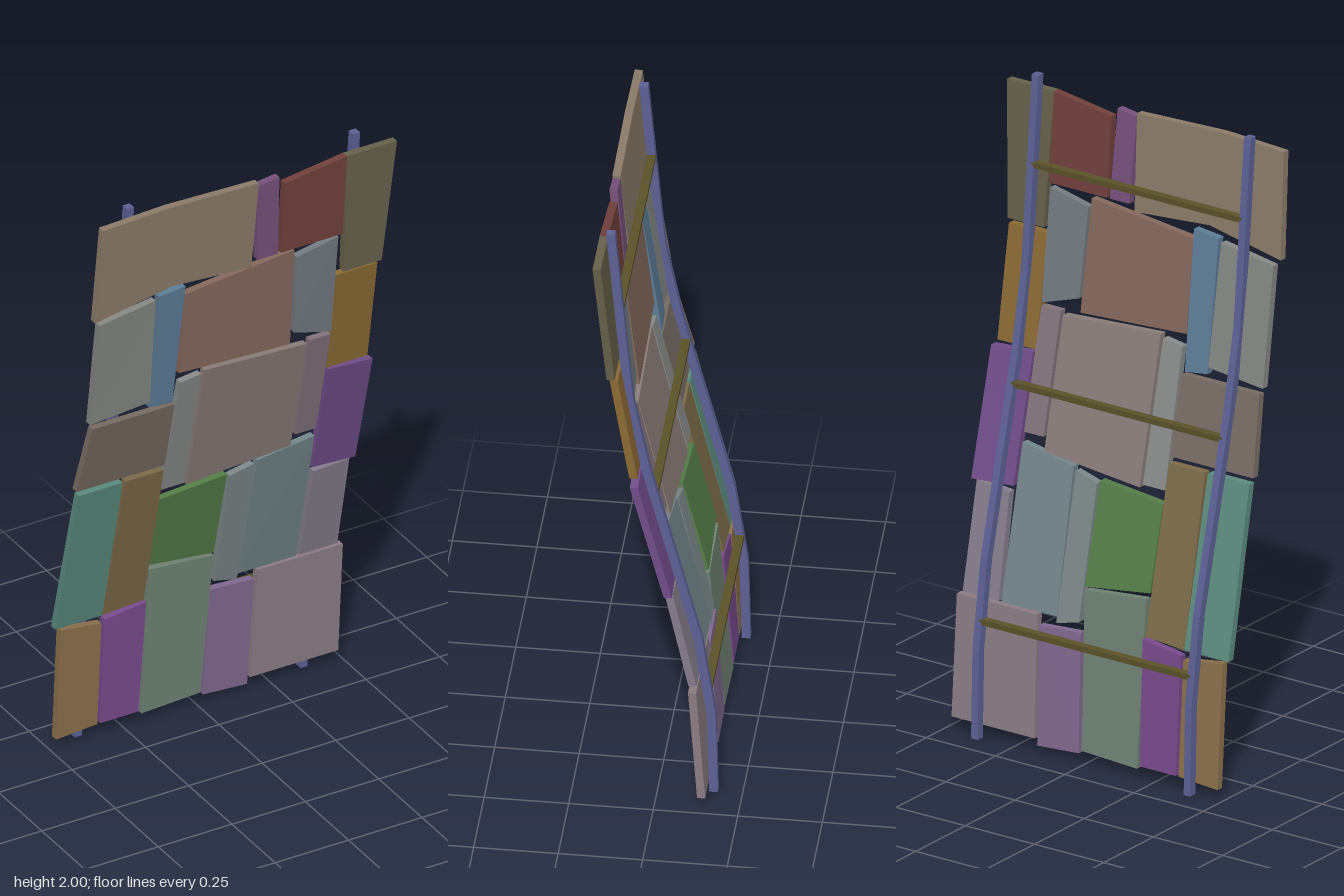
import * as THREE from 'three';

// Side profile of the bent frame: [height, depth]
const PROFILE = [[0, -0.165], [0.28, -0.158], [0.55, -0.118], [0.8, -0.055],
  [1.15, 0.035], [1.4, 0.085], [1.53, 0.098], [2, 0.14]];

function depthAt(y) {
  let i = 1;
  while (i < PROFILE.length - 1 && y > PROFILE[i][0]) i++;
  const [y0, z0] = PROFILE[i - 1], [y1, z1] = PROFILE[i];
  return z0 + (z1 - z0) * (y - y0) / (y1 - y0);
}

// Panel outlines per row: [colour, x, y, x, y, ...], clockwise from the top left
const ROWS = {
  top: [
    [0x8a7a68, -0.5, 1.95, -0.28, 1.96, 0.03, 1.95, 0.02, 1.65, -0.25, 1.67, -0.51, 1.62],
    [0x76507a, 0.03, 1.94, 0.1, 1.95, 0.11, 1.67, 0.04, 1.67],
    [0x70403c, 0.12, 1.92, 0.33, 1.95, 0.33, 1.67, 0.12, 1.67],
    [0x66604a, 0.33, 1.95, 0.5, 1.95, 0.47, 1.53, 0.34, 1.53],
  ],
  upper: [
    [0x848682, -0.49, 1.6, -0.3, 1.63, -0.29, 1.25, -0.49, 1.23],
    [0x5c7c96, -0.29, 1.64, -0.2, 1.65, -0.21, 1.22, -0.29, 1.23],
    [0x84685c, -0.2, 1.62, 0.17, 1.66, 0.18, 1.31, -0.2, 1.33],
    [0x727a80, 0.18, 1.63, 0.32, 1.66, 0.32, 1.31, 0.19, 1.35],
    [0x8a6a34, 0.32, 1.52, 0.46, 1.52, 0.46, 1.17, 0.32, 1.17],
  ],
  middle: [
    [0x766a62, -0.48, 1.21, -0.2, 1.21, -0.2, 0.97, -0.5, 0.97],
    [0x868a88, -0.19, 1.29, -0.12, 1.3, -0.12, 0.87, -0.2, 0.87],
    [0x887c78, -0.11, 1.31, 0.24, 1.29, 0.24, 0.89, -0.11, 0.86],
    [0x82727a, 0.25, 1.3, 0.32, 1.3, 0.32, 0.93, 0.25, 0.93],
    [0x704c8a, 0.33, 1.16, 0.48, 1.15, 0.48, 0.76, 0.33, 0.77],
  ],
  lower: [
    [0x5a8a7c, -0.49, 0.95, -0.34, 0.95, -0.34, 0.43, -0.5, 0.43],
    [0x7c6a48, -0.33, 0.95, -0.2, 0.95, -0.2, 0.44, -0.34, 0.43],
    [0x547c48, -0.2, 0.83, 0.03, 0.85, 0.03, 0.54, -0.2, 0.57],
    [0x7c8688, 0.04, 0.84, 0.12, 0.86, 0.12, 0.41, 0.04, 0.43],
    [0x728488, 0.13, 0.87, 0.32, 0.9, 0.32, 0.43, 0.12, 0.43],
    [0x847c8a, 0.34, 0.75, 0.46, 0.76, 0.46, 0.43, 0.33, 0.43],
  ],
  bottom: [
    [0x8a704c, -0.48, 0.42, -0.34, 0.4, -0.34, 0.04, -0.48, 0.03],
    [0x784a8c, -0.33, 0.41, -0.19, 0.43, -0.2, 0.04, -0.33, 0.04],
    [0x708274, -0.19, 0.55, 0.03, 0.53, 0.01, 0.04, -0.19, 0.03],
    [0x80688e, 0.03, 0.4, 0.18, 0.39, 0.17, 0.02, 0.02, 0.03],
    [0x8a7c82, 0.19, 0.42, 0.48, 0.42, 0.48, 0.04, 0.18, 0.04],
  ],
};

const material = color => new THREE.MeshStandardMaterial({ color, flatShading: true });

// Push every vertex back or forth to follow the bent profile
function bend(geometry) {
  const p = geometry.attributes.position;
  for (let i = 0; i < p.count; i++) p.setZ(i, p.getZ(i) + depthAt(p.getY(i)));
  geometry.computeVertexNormals();
  return geometry;
}

function panel([color, ...xy], offset) {
  const points = [];
  for (let i = 0; i < xy.length; i += 2) points.push(new THREE.Vector2(xy[i], xy[i + 1]));
  const geometry = new THREE.ExtrudeGeometry(new THREE.Shape(points), { depth: 0.024, bevelEnabled: false });
  geometry.translate(0, 0, offset);
  return new THREE.Mesh(bend(geometry), material(color));
}

// Upright with one segment per profile step
function post(x, height) {
  const n = PROFILE.length - 1;
  const geometry = new THREE.BoxGeometry(0.024, n, 0.026, 1, n, 1);
  const p = geometry.attributes.position;
  for (let i = 0; i < p.count; i++) {
    const k = Math.round(p.getY(i) + n / 2);
    p.setXYZ(i, p.getX(i) + x, Math.min(PROFILE[k][0], height), p.getZ(i));
  }
  return new THREE.Mesh(bend(geometry), material(0x5c6094));
}

export function createModel() {
  const model = new THREE.Group();
  model.name = 'patchworkScreen';

  // Front panels
  for (const [row, panels] of Object.entries(ROWS)) {
    const group = new THREE.Group();
    group.name = row + 'Panels';
    panels.forEach((data, i) => {
      const mesh = panel(data, row === 'top' ? 0.02 : 0.013);
      mesh.name = `${row}Panel${i + 1}`;
      group.add(mesh);
    });
    model.add(group);
  }

  // Uprights behind the panels
  for (const [name, x, height] of [['rightPost', -0.39, 1.98], ['leftPost', 0.378, 2]]) {
    const mesh = post(x, height);
    mesh.name = name;
    model.add(mesh);
  }

  // Cross rails between the uprights
  for (const [name, y] of [['lowerRail', 0.365], ['middleRail', 1.065], ['upperRail', 1.725]]) {
    const rail = new THREE.Mesh(new THREE.BoxGeometry(0.76, 0.017, 0.026), material(0x5a5228));
    rail.name = name;
    rail.position.set(-0.006, y, depthAt(y));
    model.add(rail);
  }
  return model;
}
